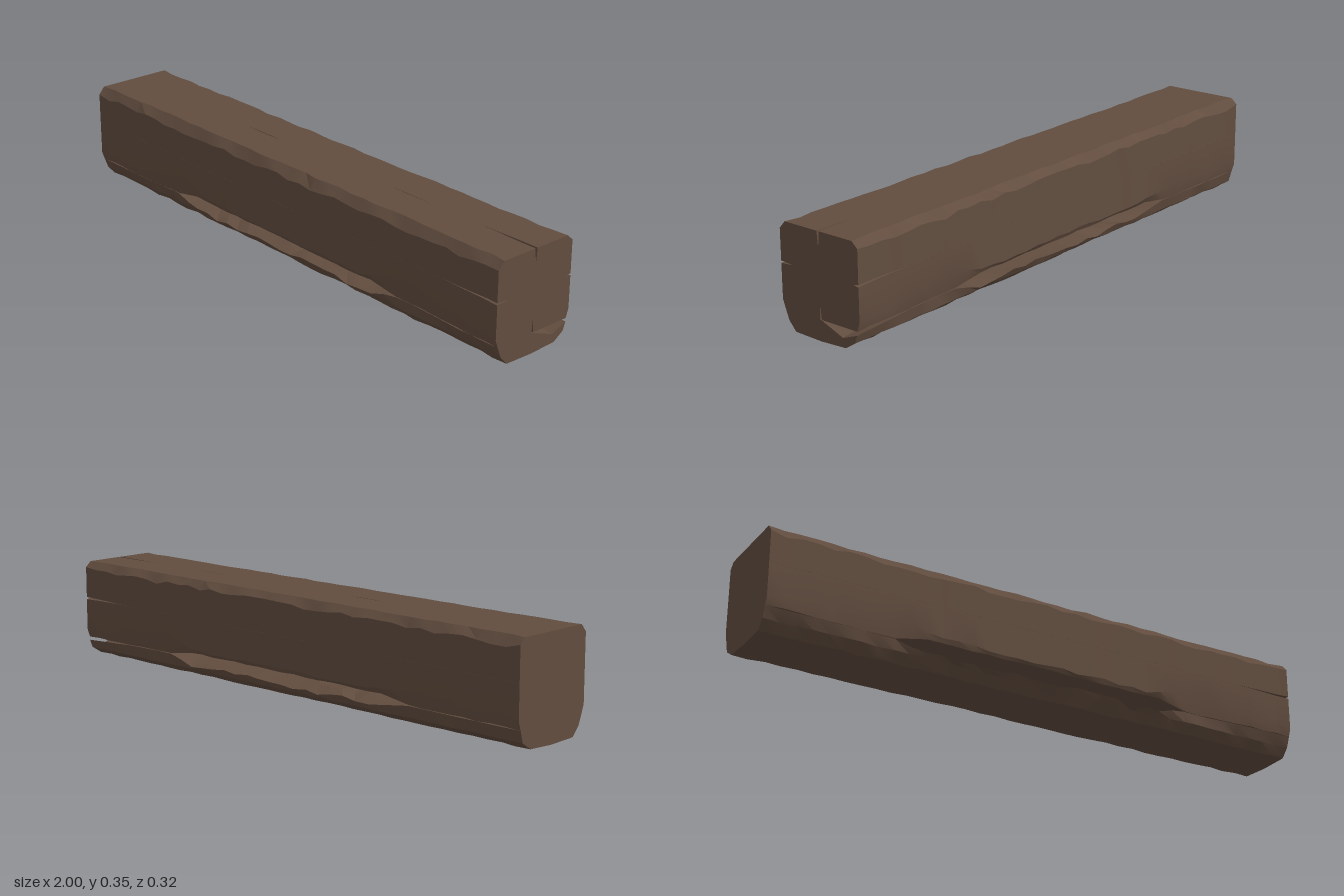
import * as THREE from 'three';
import { toCreasedNormals } from 'three/addons/utils/BufferGeometryUtils.js';

// Skin a beam through cross-sections; points are [-z, y], anticlockwise seen from +x
function loft(xs, section) {
  const rings = xs.map(section), n = rings[0].length, pos = [], index = [];
  rings.forEach((ring, i) => ring.forEach(([u, v]) => pos.push(xs[i], v, -u)));
  for (let i = 0; i < xs.length - 1; i++) {
    for (let j = 0; j < n; j++) {
      const k = (j + 1) % n, a = i * n + j, b = i * n + k;
      index.push(a, b, b + n, a, b + n, a + n);
    }
  }
  const cap = (i, flip) => {
    const pts = rings[i].map(([u, v]) => new THREE.Vector2(u, v));
    for (const [a, b, c] of THREE.ShapeUtils.triangulateShape(pts, [])) {
      const o = i * n;
      index.push(o + a, o + (flip ? c : b), o + (flip ? b : c));
    }
  };
  cap(0, true);
  cap(xs.length - 1, false);
  const g = new THREE.BufferGeometry();
  g.setAttribute('position', new THREE.Float32BufferAttribute(pos, 3));
  g.setIndex(index);
  return toCreasedNormals(g, 0.35);
}

const clamp = (v) => Math.min(1, Math.max(0, v));
const bump = (x, c, w) => clamp(1 - Math.abs(x - c) / w);

// Repeatable roughness, one value per position and channel
function rough(x, channel) {
  const s = Math.sin(x * 91.7 + channel * 37.3) * 4375.85;
  return s - Math.floor(s);
}

// Shape controls along the length
const split = (x) => clamp((0.54 - Math.abs(x)) / 0.08);   // long split, open right through
const endCrack = (x) => clamp((x - 0.82) / 0.18);          // cracks running in from the +x end
const endChip = (x) => clamp((x - 0.76) / 0.24);           // broken corner at the +x end
const scoop = (x) => bump(x, 0.62, 0.22) + 0.6 * bump(x, -0.58, 0.2);

function upperSection(x) {
  const s = split(x), e = endCrack(x), W = 0.16;
  const inner = Math.abs(x) < 0.99 ? 1 : 0;
  const r = (c) => rough(x, c) * inner;
  const topCrack = 0.055 * e + 0.015 * (bump(x, -0.25, 0.07) + bump(x, 0.47, 0.04));
  const w = 0.0004 + 0.004 * clamp(topCrack / 0.03);
  const we = 0.0004 + 0.0035 * e;
  const lip = 0.07 + s * 0.02;
  const chF = 0.098 + 0.012 * r(1) + 0.06 * scoop(x);
  const chB = 0.1 + 0.012 * r(2) + 0.03 * scoop(x);
  const dF = 0.022 + 0.012 * r(3), dB = 0.022 + 0.01 * r(4);
  const tF = 0.325 - 0.012 * r(5), tB = 0.33 - 0.015 * r(6);
  const F = W - 0.006 * r(7), B = W - 0.005 * r(8);
  return [
    [-0.15 + 0.012 * scoop(x), lip + 0.004 * r(9)],
    [-we, lip - 0.004 * s], [0, lip + 0.05 * e + 0.0003], [we, lip - 0.004 * s],
    [0.15 - 0.008 * scoop(x), lip + 0.004 * r(10)], [B, chB],
    [B, 0.215 - we], [B - 0.02 * e - 0.0002, 0.215], [B, 0.215 + we],
    [B, tB], [W - dB, 0.35],
    [w, 0.35], [0, 0.3498 - topCrack], [-w, 0.35],
    [dF - W, 0.35], [-F, tF],
    [-F, 0.217 + we], [-F + 0.05 * e + 0.0002, 0.217], [-F, 0.217 - we],
    [-F, chF],
  ];
}

function lowerSection(x) {
  const s = split(x), c = endChip(x);
  const r = (k) => (Math.abs(x) < 0.99 ? rough(x, k) : 0.4);
  return [
    [-0.14 + 0.01 * r(11), 0.034],
    [-0.113 + 0.012 * r(12), 0.003],
    [0, 0],
    [0.105 - 0.012 * r(13), 0.005],
    [0.142 - 0.008 * r(14), 0.03],
    [0.15 - 0.008 * scoop(x), 0.07 - s * (0.012 + 0.018 * r(15)) - 0.012 * c],
    [0.09, 0.07 - s * (0.006 + 0.014 * r(16)) - 0.035 * c],
    [0, 0.07 - s * (0.005 + 0.016 * r(17))],
    [-0.09, 0.07 - s * (0.008 + 0.016 * r(18))],
    [-0.15 + 0.012 * scoop(x), 0.07 - s * (0.014 + 0.018 * r(19))],
  ];
}

export function createModel() {
  const group = new THREE.Group();
  group.name = 'woodenBeam';
  const wood = new THREE.MeshStandardMaterial({ color: 0x624d3f });
  wood.name = 'darkWood';

  const xs = [];
  for (let i = 0; i <= 36; i++) xs.push(-1 + i / 18);

  const add = (name, section) => {
    const mesh = new THREE.Mesh(loft(xs, section), wood);
    mesh.name = name;
    group.add(mesh);
  };
  add('beamBody', upperSection);       // main squared timber
  add('splitUnderside', lowerSection); // lower slab, split away in the middle
  return group;
}
